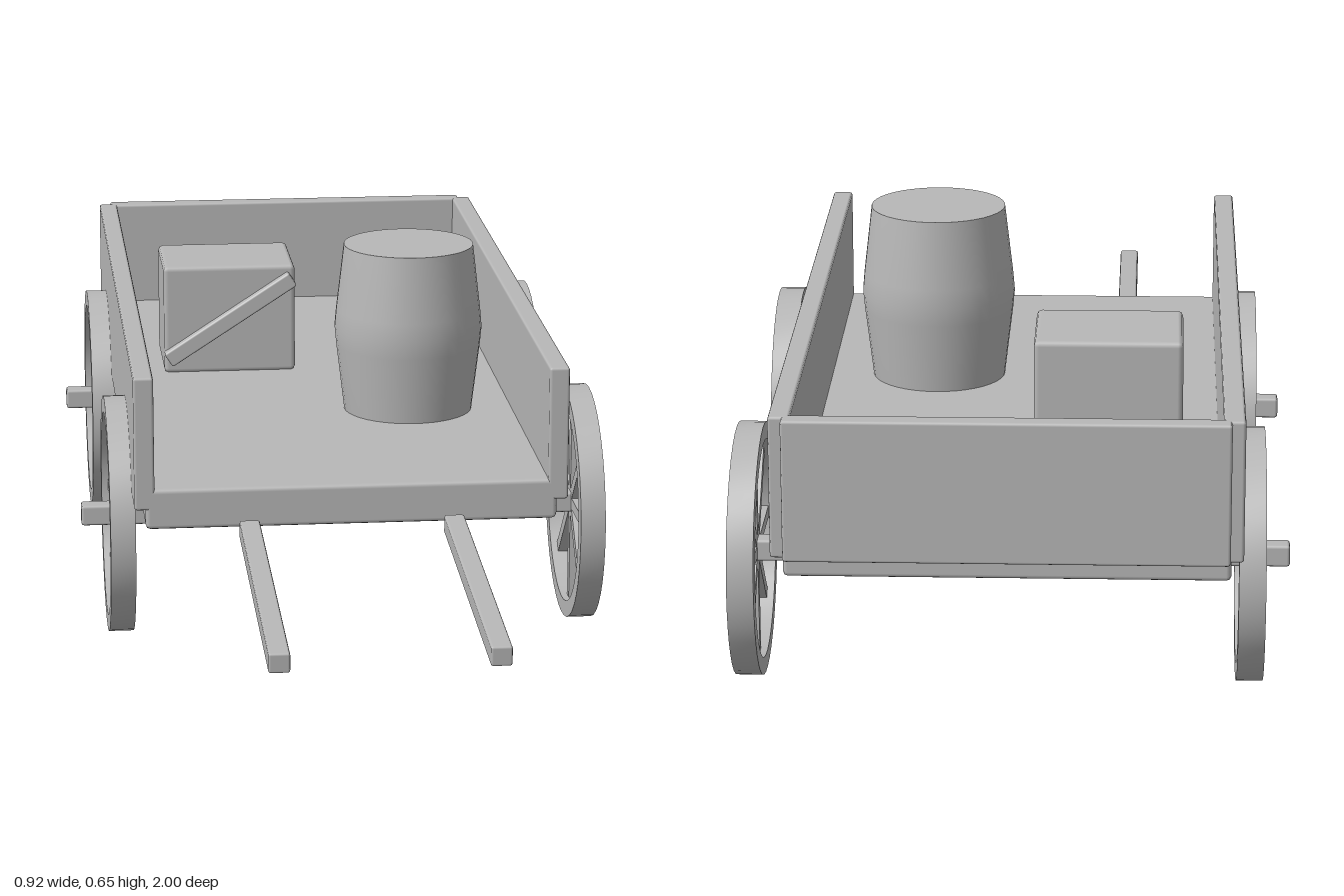
import * as THREE from 'three';
import { RoundedBoxGeometry } from 'three/addons/geometries/RoundedBoxGeometry.js';
import { toCreasedNormals } from 'three/addons/utils/BufferGeometryUtils.js';

const wood = new THREE.MeshStandardMaterial({ color: 0xb8b8b8 });
wood.name = 'grey wood';

function add(parent, name, geometry, x = 0, y = 0, z = 0) {
  const mesh = new THREE.Mesh(geometry, wood);
  mesh.name = name;
  mesh.position.set(x, y, z);
  parent.add(mesh);
  return mesh;
}

// Slightly bevelled board given by its extents on each axis
function board(parent, name, [x0, x1], [y0, y1], [z0, z1], bevel = 0.005) {
  const geometry = new RoundedBoxGeometry(x1 - x0, y1 - y0, z1 - z0, 1, bevel);
  return add(parent, name, geometry, (x0 + x1) / 2, (y0 + y1) / 2, (z0 + z1) / 2);
}

function lathe(points, segments) {
  const profile = points.map(([r, y]) => new THREE.Vector2(r, y));
  return toCreasedNormals(new THREE.LatheGeometry(profile, segments), 0.6);
}

// Rim with eight spokes, turning about the x axis
function makeWheel(name) {
  const wheel = new THREE.Group();
  wheel.name = name;
  const outer = 0.211, inner = 0.182, half = 0.022;
  const rim = lathe([[inner, -half], [outer, -half], [outer, half], [inner, half], [inner, -half]], 40);
  add(wheel, 'rim', rim.rotateZ(Math.PI / 2));
  for (let i = 0; i < 4; i++) {
    const spoke = add(wheel, 'spokePair', new THREE.BoxGeometry(0.02, 2 * inner + 0.01, 0.02));
    spoke.rotation.x = i * Math.PI / 4;
  }
  return wheel;
}

export function createModel() {
  const cart = new THREE.Group();
  cart.name = 'cart';

  // Open-fronted bed
  board(cart, 'floor', [-0.357, 0.357], [0.265, 0.337], [-0.972, 0.38], 0.008);
  for (const side of [-1, 1]) {
    const wall = board(cart, side > 0 ? 'leftWall' : 'rightWall', [-0.0175, 0.0175], [0.3, 0.536], [-0.98, 0.38]);
    wall.position.x = side * 0.359;
  }
  board(cart, 'backWall', [-0.355, 0.355], [0.3, 0.536], [-1, -0.965]);

  // Axles and wheels
  for (const [label, z] of [['front', 0.095], ['back', -0.69]]) {
    board(cart, label + 'Axle', [-0.459, 0.457], [0.193, 0.23], [z - 0.018, z + 0.018]);
    for (const [side, x] of [['Right', -0.393], ['Left', 0.434]]) {
      const wheel = makeWheel(label + side + 'Wheel');
      wheel.position.set(x, 0.211, z);
      cart.add(wheel);
    }
  }

  // Pulling shafts, sloping down to the front
  for (const x of [-0.179, 0.176]) {
    const shaft = add(cart, 'shaft', new RoundedBoxGeometry(0.035, 0.034, 0.612, 1, 0.004), x, 0.248, 0.694);
    shaft.rotation.x = 0.055;
  }

  // Crate with a diagonal brace on its front
  const crate = new THREE.Group();
  crate.name = 'crate';
  cart.add(crate);
  board(crate, 'crateBody', [-0.28, -0.031], [0.335, 0.542], [-0.588, -0.393], 0.009);
  const brace = add(crate, 'crateBrace', new RoundedBoxGeometry(0.282, 0.03, 0.026, 1, 0.004), -0.155, 0.441, -0.388);
  brace.rotation.z = 0.575;

  // Barrel
  const barrel = lathe([[0, 0.335], [0.117, 0.335], [0.132, 0.46], [0.135, 0.492], [0.132, 0.526], [0.118, 0.646], [0, 0.646]], 40);
  add(cart, 'barrel', barrel, 0.152, 0, -0.111);

  return cart;
}
